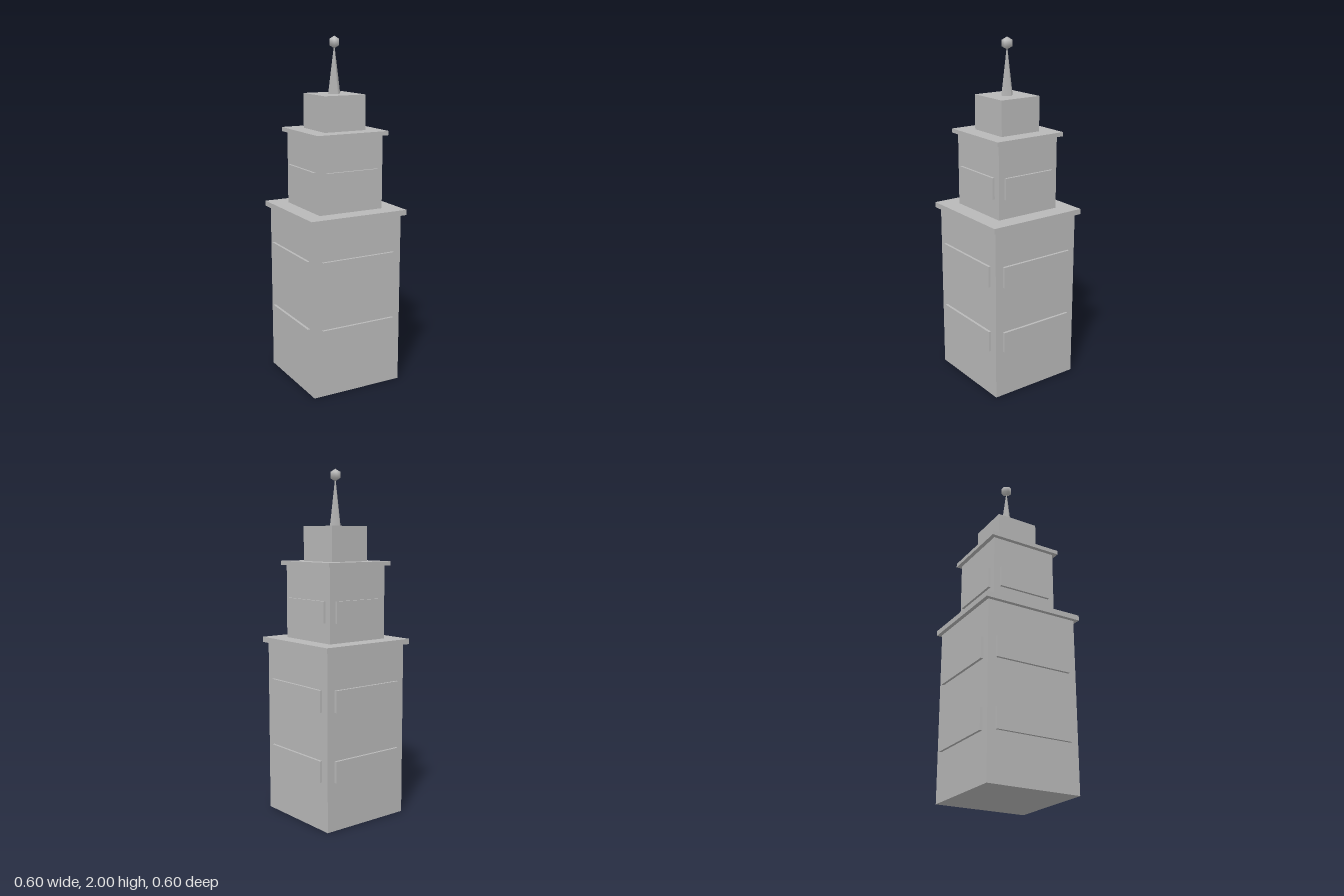
import * as THREE from 'three';

export function createModel() {
  const model = new THREE.Group();
  const stone = new THREE.MeshStandardMaterial({ color: 0xb8b8b8 });
  stone.name = 'stone grey';

  function add(name, geometry, x, y, z, parent = model) {
    const mesh = new THREE.Mesh(geometry, stone);
    mesh.name = name;
    mesh.position.set(x, y, z);
    parent.add(mesh);
    return mesh;
  }

  // Stacked square blocks: name, half width, bottom, top
  const blocks = [
    ['lowerTower', 0.279, 0, 1.005],
    ['lowerCornice', 0.302, 1.005, 1.036],
    ['upperTower', 0.2, 1.036, 1.457],
    ['upperCornice', 0.224, 1.457, 1.481],
    ['crownBlock', 0.129, 1.481, 1.68],
  ];
  for (const [name, half, y0, y1] of blocks) {
    add(name, new THREE.BoxGeometry(2 * half, y1 - y0, 2 * half), 0, (y0 + y1) / 2, 0);
  }

  // Window bands on all four sides: half width, bottom, top, wall, outer face
  const bands = [
    [0.23, 0.278, 0.4, 0.279, 0.294],
    [0.23, 0.672, 0.795, 0.279, 0.294],
    [0.161, 1.148, 1.27, 0.2, 0.214],
  ];
  for (const [half, y0, y1, wall, outer] of bands) {
    const depth = outer - wall + 0.01;
    const geometry = new THREE.BoxGeometry(2 * half, y1 - y0, depth);
    for (let side = 0; side < 4; side++) {
      const pivot = new THREE.Group();
      pivot.name = 'windowSide';
      pivot.rotation.y = side * Math.PI / 2;
      model.add(pivot);
      add('windowBand', geometry, 0, (y0 + y1) / 2, outer - depth / 2, pivot);
    }
  }

  // Four-sided spire with a low-poly ball
  add('spire', new THREE.ConeGeometry(0.039, 0.28, 4), 0, 1.82, 0);
  add('finialBall', new THREE.SphereGeometry(0.035, 6, 3), 0, 1.965, 0);

  return model;
}
